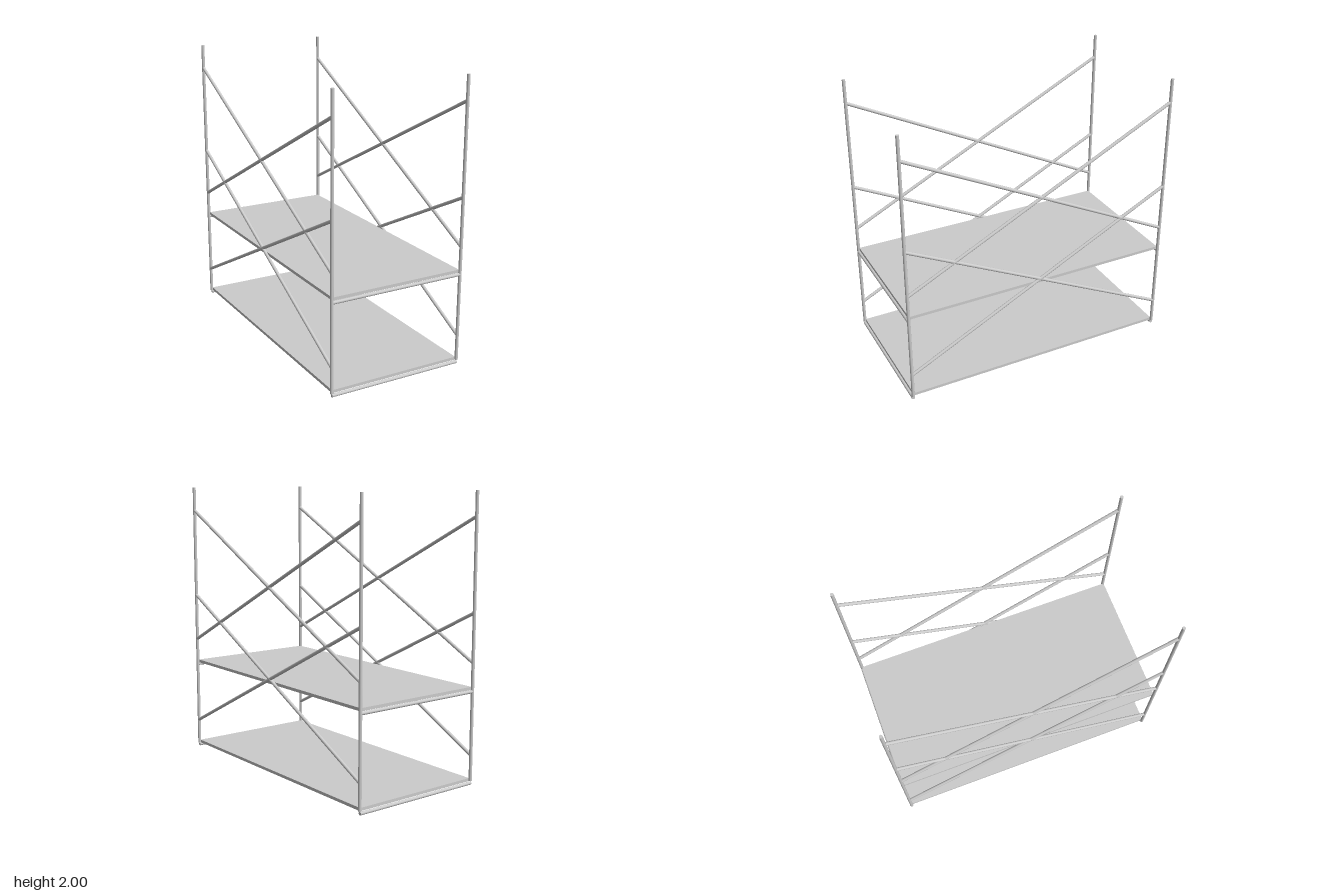
import * as THREE from 'three';

const R = 0.0115;          // tube radius
const X = 0.491, Z = 0.982; // post positions
const LIFT = 0.64;         // height between levels

export function createModel() {
  const group = new THREE.Group();
  const material = new THREE.MeshStandardMaterial({ color: 0xcccccc });
  const up = new THREE.Vector3(0, 1, 0);

  // Straight round tube between two points
  function tube(name, a, b) {
    const from = new THREE.Vector3(...a), to = new THREE.Vector3(...b);
    const dir = to.clone().sub(from);
    const mesh = new THREE.Mesh(new THREE.CylinderGeometry(R, R, dir.length(), 16), material);
    mesh.position.copy(from).add(to).multiplyScalar(0.5);
    mesh.quaternion.setFromUnitVectors(up, dir.normalize());
    mesh.name = name;
    group.add(mesh);
  }

  // Corner posts
  for (const x of [-X, X])
    for (const z of [-Z, Z]) tube('cornerPost', [x, 0.027, z], [x, 2, z]);

  for (const y of [0, LIFT]) {
    // Deck boards resting on a cross tube at each end
    const deck = new THREE.Mesh(new THREE.BoxGeometry(2 * X - 0.012, 0.021, 2 * Z - 0.01), material);
    deck.position.y = y + 0.0355;
    deck.name = 'deck';
    group.add(deck);
    for (const z of [-Z, Z]) tube('crossTube', [-X, y + R + 0.002 * (y > 0), z], [X, y + R + 0.002 * (y > 0), z]);

    // Crossed diagonal braces on both long sides
    for (const x of [-X, X])
      for (const s of [-1, 1]) tube('diagonalBrace', [x, y + 0.21, -s * Z], [x, y + 1.19, s * Z]);
  }
  return group;
}
